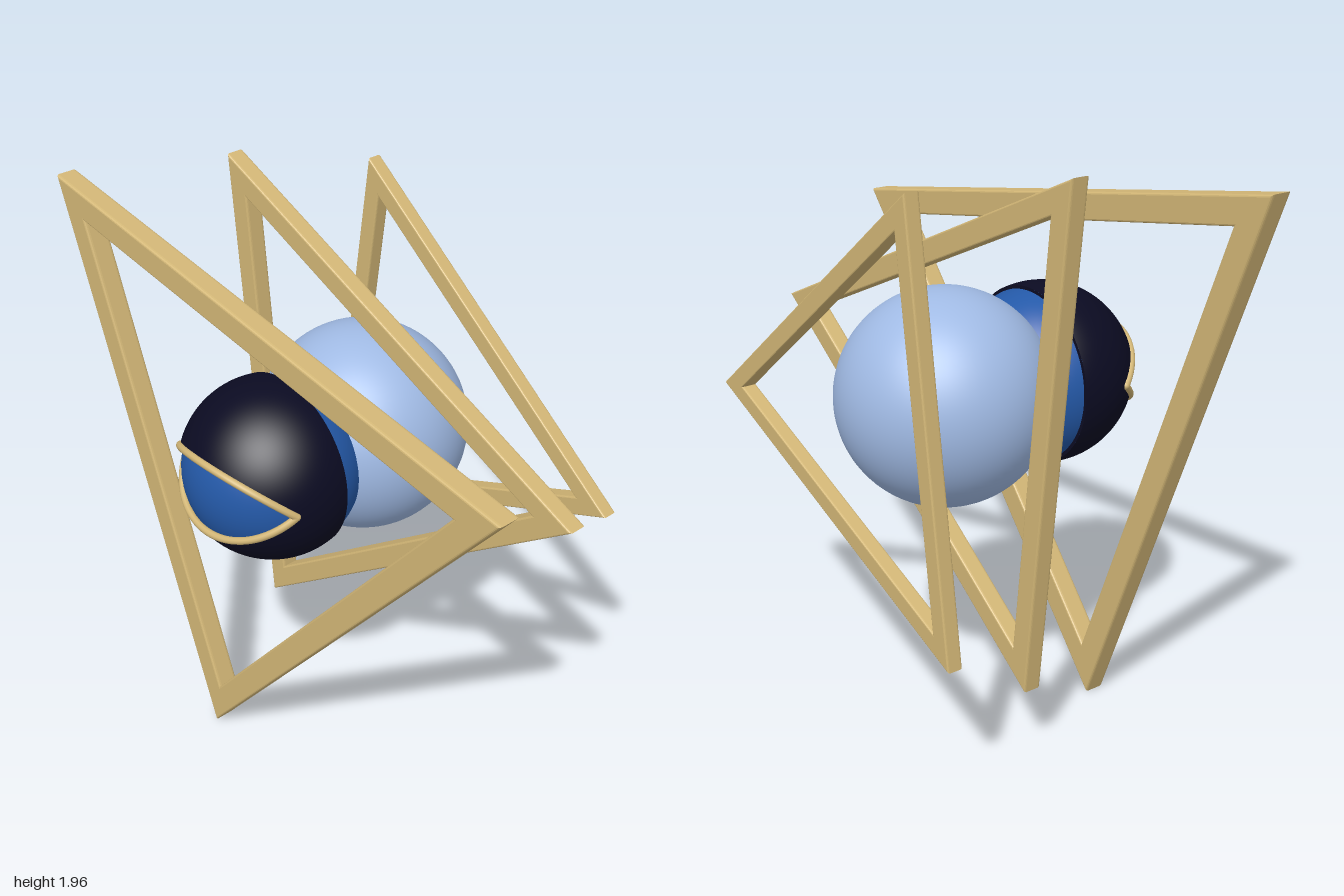
import * as THREE from 'three';

const CX = -0.104, CY = 1.157; // common axis of all parts
const EYE_Z = 0.226, LID_R = 0.304; // eye centre and lid radius
const SLIT_Z = 0.13, SLIT = THREE.MathUtils.degToRad(41.5); // planes that cut the eye opening

const mat = (name, color, side = THREE.FrontSide) => {
  const m = new THREE.MeshStandardMaterial({ color, side });
  m.name = name;
  return m;
};

// Equilateral triangle outline with one corner at the given angle
function trianglePoints(radius, angle) {
  return [0, 1, 2].map((i) => {
    const a = angle + (i * Math.PI * 2) / 3;
    return new THREE.Vector2(Math.cos(a) * radius, Math.sin(a) * radius);
  });
}

// Bevelled triangular frame centred on its own origin
function frameGeometry(scale, angle) {
  const bevel = 0.01 * scale, depth = 0.076 * scale;
  const miter = bevel * Math.SQRT2;
  const shape = new THREE.Shape(trianglePoints(1.176 * scale - miter, angle));
  shape.holes.push(new THREE.Path(trianglePoints(0.992 * scale + miter, angle).reverse()));
  const geo = new THREE.ExtrudeGeometry(shape, {
    depth: depth - 2 * bevel, bevelEnabled: true, bevelSize: bevel,
    bevelThickness: bevel, bevelSegments: 3, curveSegments: 1,
  });
  return geo.translate(0, 0, -depth / 2 + bevel);
}

// Spherical shell around the z axis, open at the almond slit and at the back
function lidGeometry(backZ) {
  const geo = new THREE.SphereGeometry(LID_R, 128, 32, 0, Math.PI * 2, 0.1, 1);
  const { position: pos, normal, uv } = geo.attributes;
  const end = Math.acos(backZ / LID_R), A = LID_R * Math.tan(SLIT);
  for (let i = 0; i < pos.count; i++) {
    const th = uv.getX(i) * Math.PI * 2;
    const B = LID_R * Math.abs(Math.sin(th));
    const start = Math.acos((SLIT_Z * Math.tan(SLIT)) / Math.hypot(A, B)) - Math.atan2(B, A);
    const a = THREE.MathUtils.lerp(start, end, 1 - uv.getY(i));
    const n = [-Math.cos(th) * Math.sin(a), -Math.sin(th) * Math.sin(a), Math.cos(a)];
    normal.setXYZ(i, ...n);
    pos.setXYZ(i, ...n.map((v) => v * LID_R));
  }
  return geo;
}

// Arc where one slit plane meets the lid sphere; side is +1 upper, -1 lower
function lidEdge(side) {
  const rc = Math.sqrt(LID_R ** 2 - (SLIT_Z * Math.sin(SLIT)) ** 2);
  const tc = -SLIT_Z * Math.cos(SLIT);
  const limit = Math.acos(-tc / rc);
  const points = [];
  for (let i = 0; i <= 32; i++) {
    const phi = limit * (i / 16 - 1);
    const t = tc + rc * Math.cos(phi);
    points.push(new THREE.Vector3(
      rc * Math.sin(phi), side * t * Math.sin(SLIT), SLIT_Z + t * Math.cos(SLIT)));
  }
  return new THREE.CatmullRomCurve3(points);
}

export function createModel() {
  const model = new THREE.Group();
  model.name = 'model';
  const gold = mat('gold', 0xd2b676);
  const paleBlue = mat('pale blue', 0xa0bae4);
  const blue = mat('blue', 0x2459a8);
  const navy = mat('dark navy', 0x0b0b22, THREE.DoubleSide);

  const add = (parent, name, geo, material, x = 0, y = 0, z = 0) => {
    const mesh = new THREE.Mesh(geo, material);
    mesh.name = name;
    mesh.position.set(x, y, z);
    parent.add(mesh);
    return mesh;
  };

  // Three frames, shrinking and turning towards the back
  [['frontFrame', 1, -100, 0.327], ['middleFrame', 0.84, -114.3, -0.122], ['backFrame', 0.7, -128, -0.5]]
    .forEach(([name, scale, deg, z]) =>
      add(model, name, frameGeometry(scale, THREE.MathUtils.degToRad(deg)), gold, CX, CY, z));

  // Large ball behind the eye
  add(model, 'bodyBall', new THREE.SphereGeometry(0.355, 64, 48), paleBlue, CX, CY, -0.17);

  // Eye: ball, lids with a rear rim, and gold trim along the opening
  const eye = new THREE.Group();
  eye.name = 'eye';
  eye.position.set(CX, CY, EYE_Z);
  model.add(eye);
  const backZ = -0.058, rimR = Math.sqrt(LID_R ** 2 - backZ ** 2);
  add(eye, 'eyeball', new THREE.SphereGeometry(0.293, 64, 48), blue);
  add(eye, 'eyelids', lidGeometry(backZ), navy);
  add(eye, 'eyelidRim', new THREE.RingGeometry(0.28, rimR, 96).rotateY(Math.PI), navy, 0, 0, backZ);
  for (const side of [1, -1]) {
    const curve = lidEdge(side);
    add(eye, side > 0 ? 'upperLidTrim' : 'lowerLidTrim',
      new THREE.TubeGeometry(curve, 64, 0.0125, 10), gold);
    // Rounded corner joining the two trims
    const corner = curve.getPoint(side > 0 ? 1 : 0);
    add(eye, side > 0 ? 'leftTrimCorner' : 'rightTrimCorner',
      new THREE.SphereGeometry(0.0125, 12, 8), gold, corner.x, corner.y, corner.z);
  }
  return model;
}
